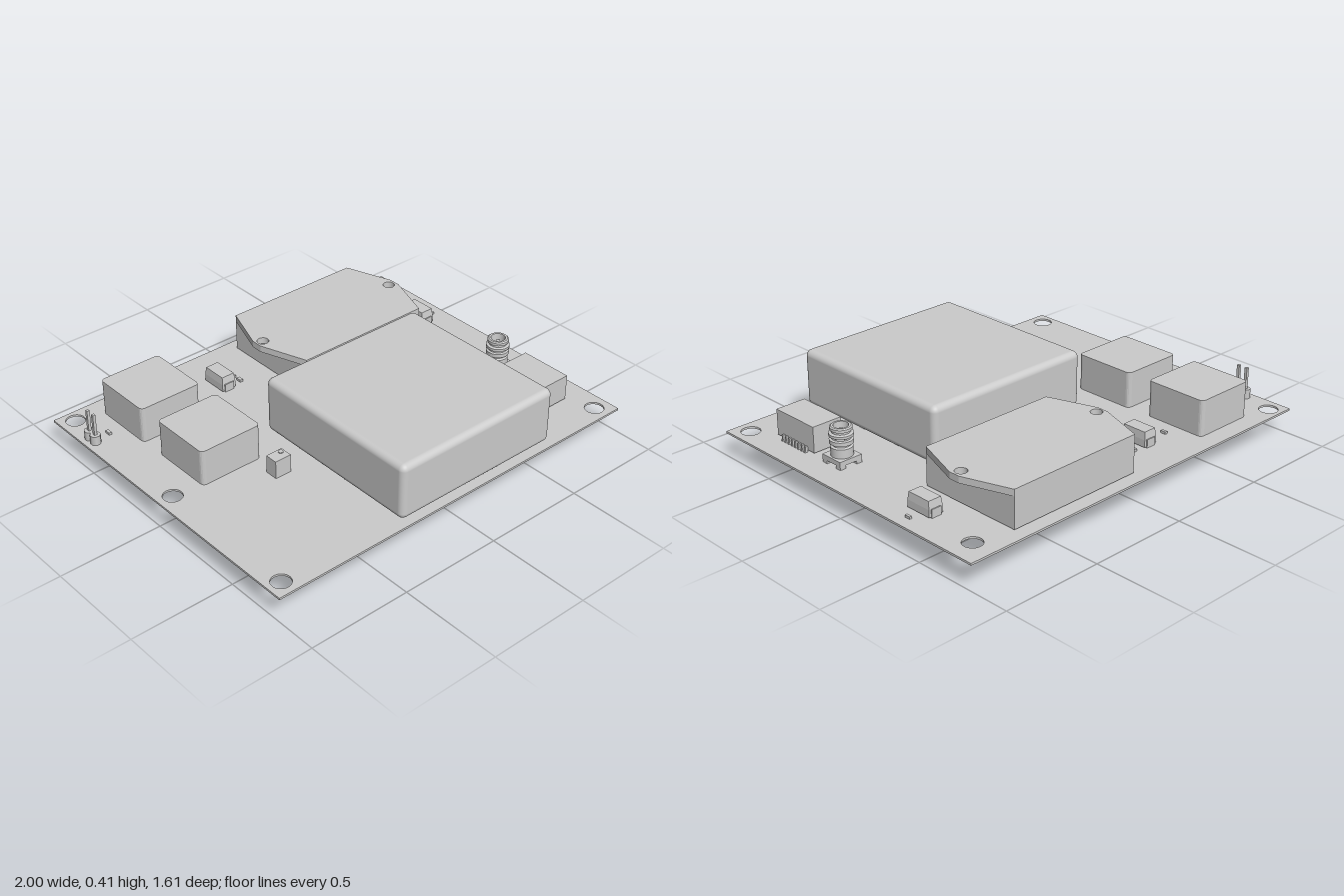
import * as THREE from 'three';
import { RoundedBoxGeometry } from 'three/addons/geometries/RoundedBoxGeometry.js';

const TOP = 0.125; // upper face of the board
const mat = new THREE.MeshStandardMaterial({ color: 0xcccccc });

export function createModel() {
  const model = new THREE.Group();

  const add = (name, geo, x = 0, y = 0, z = 0, parent = model) => {
    const mesh = new THREE.Mesh(geo, mat);
    mesh.name = name;
    mesh.position.set(x, y, z);
    parent.add(mesh);
    return mesh;
  };
  const group = (name, x = 0, z = 0) => {
    const g = new THREE.Group();
    g.name = name;
    g.position.set(x, 0, z);
    model.add(g);
    return g;
  };
  // Box given by its limits on each axis
  const block = (name, x0, x1, y0, y1, z0, z1, parent) =>
    add(name, new THREE.BoxGeometry(x1 - x0, y1 - y0, z1 - z0),
      (x0 + x1) / 2, (y0 + y1) / 2, (z0 + z1) / 2, parent);
  const rod = (name, r, x, y0, y1, z, parent) =>
    add(name, new THREE.CylinderGeometry(r, r, y1 - y0, 14), x, (y0 + y1) / 2, z, parent);
  // Plan outline in (x, z), raised from y0 to y1, with round holes [x, z, r]
  const slab = (name, points, holes, y0, y1, parent) => {
    const shape = new THREE.Shape(points.map(([x, z]) => new THREE.Vector2(x, -z)));
    for (const [x, z, r] of holes) {
      const path = new THREE.Path();
      path.absarc(x, -z, r, 0, Math.PI * 2, true);
      shape.holes.push(path);
    }
    const geo = new THREE.ExtrudeGeometry(shape, { depth: y1 - y0, bevelEnabled: false, curveSegments: 24 });
    geo.rotateX(-Math.PI / 2);
    return add(name, geo, 0, y0, 0, parent);
  };

  // Circuit board with mounting holes
  slab('board', [[-1, 0.805], [1, 0.805], [1, -0.805], [-1, -0.805]],
    [[-0.925, -0.74, 0.045], [0.885, -0.69, 0.045], [-0.925, 0, 0.045],
      [-0.93, 0.73, 0.045], [0.92, 0.73, 0.045]], 0.115, TOP);

  // Large rounded module
  add('mainModule', new RoundedBoxGeometry(0.89, 0.275, 0.89, 4, 0.03), 0.125, 0.268, 0.33);
  for (const [x, z] of [[-0.235, 0.69], [-0.06, 0.69], [0.48, 0.69], [0.48, 0.33], [0.48, -0.02], [-0.235, -0.02]])
    rod('mainModulePin', 0.009, x, 0.075, 0.135, z);

  // Power converter: block with a thin pointed mounting ear at each end
  const converter = group('converter');
  block('converterBody', 0, 0.705, 0.13, 0.28, -0.74, -0.215, converter);
  slab('converterLid', [[0, -0.215], [0.705, -0.215], [0.787, -0.45], [0.787, -0.505],
    [0.705, -0.74], [0, -0.74], [-0.082, -0.505], [-0.082, -0.45]],
  [[-0.045, -0.477, 0.028], [0.748, -0.477, 0.028]], 0.28, 0.312, converter);
  for (const z of [-0.41, -0.48, -0.59, -0.655]) rod('converterPin', 0.007, 0.07, 0, 0.135, z, converter);
  for (const z of [-0.325, -0.395]) rod('converterPin', 0.007, 0.64, 0, 0.135, z, converter);

  // Two metal cans with rounded corners
  for (const [cx, cz] of [[-0.634, -0.555], [-0.628, -0.127]]) {
    const can = group('can', cx, cz);
    const outline = [];
    for (let i = 0; i < 4; i++) {
      const sx = [1, 1, -1, -1][i], sz = [1, -1, -1, 1][i];
      for (let k = 0; k <= 4; k++) {
        const a = -Math.PI / 2 + (i + k / 4) * Math.PI / 2;
        outline.push([sx * 0.138 + 0.02 * Math.cos(a), sz * 0.138 - 0.02 * Math.sin(a)]);
      }
    }
    slab('canBody', outline, [], TOP, 0.3, can);
    for (const x of [-0.112, 0.112])
      for (const z of [-0.112, 0.112]) rod('canPin', 0.009, x, 0.09, 0.13, z, can);
  }

  // Two-pin header
  const header = group('pinHeader', -0.953, -0.558);
  for (const z of [-0.0225, 0.0225]) {
    const base = add('headerBase', new THREE.CylinderGeometry(0.0245, 0.0245, 0.045, 8), 0, 0.1475, z, header);
    base.rotation.y = Math.PI / 8;
    block('headerPin', -0.007, 0.007, 0.075, 0.275, z - 0.007, z + 0.007, header);
  }

  // Coaxial connector: square foot, turned barrel and pins
  const coax = group('coaxConnector', 0.815, 0.208);
  block('coaxBase', -0.06, 0.06, 0.14, 0.163, -0.06, 0.06, coax);
  for (const x of [-0.045, 0.045])
    for (const z of [-0.045, 0.045]) {
      block('coaxFoot', x - 0.015, x + 0.015, TOP, 0.14, z - 0.015, z + 0.015, coax);
      rod('coaxLeg', 0.008, x, 0.06, 0.13, z, coax);
    }
  rod('coaxCenterPin', 0.009, 0, 0.06, 0.145, 0, coax);
  const profile = [[0, 0.16], [0.05, 0.16], [0.05, 0.205], [0.04, 0.21], [0.04, 0.216], [0.054, 0.222],
    [0.054, 0.24], [0.045, 0.244], [0.045, 0.25], [0.055, 0.256], [0.055, 0.268], [0.042, 0.272],
    [0.042, 0.28], [0.05, 0.284], [0.05, 0.297], [0.044, 0.302], [0.034, 0.302], [0.03, 0.225], [0, 0.225]];
  // Each profile segment is turned separately to keep its edges sharp
  for (let i = 0; i + 1 < profile.length; i++) {
    const pts = [profile[i], profile[i + 1]].map(([r, y]) => new THREE.Vector2(r, y));
    add('coaxBarrel', new THREE.LatheGeometry(pts, 32), 0, 0, 0, coax);
  }
  rod('coaxContact', 0.01, 0, 0.22, 0.285, 0, coax);

  // Chip with a row of bent leads on each long side
  const chip = group('chip', 0.788, 0.47);
  block('chipBody', -0.077, 0.077, 0.135, 0.26, -0.13, 0.13, chip);
  for (let i = 0; i < 8; i++) {
    const z = -0.08 + i * 0.0229;
    for (const s of [-1, 1]) {
      block('chipLead', s * 0.083 - 0.007, s * 0.083 + 0.007, TOP, 0.153, z - 0.005, z + 0.005, chip);
      block('chipLeadFoot', s * 0.087 - 0.006, s * 0.087 + 0.006, TOP, 0.131, z - 0.005, z + 0.005, chip);
    }
  }

  // Capacitors with tapered upper sides and end tabs
  for (const [x, z] of [[-0.248, -0.548], [0.847, -0.366]]) {
    const cap = group('capacitor', x, z);
    block('capacitorLower', -0.037, 0.037, 0.13, 0.165, -0.066, 0.066, cap);
    const geo = new THREE.BoxGeometry(0.074, 0.037, 0.132);
    const p = geo.attributes.position;
    for (let i = 0; i < p.count; i++)
      if (p.getY(i) > 0) p.setXYZ(i, p.getX(i) * 0.9, p.getY(i), p.getZ(i) * 0.92);
    geo.computeVertexNormals();
    add('capacitorUpper', geo, 0, 0.1835, 0, cap);
    for (const s of [-1, 1])
      block('capacitorTab', -0.025, 0.025, TOP, 0.165, s * 0.066 - 0.005, s * 0.066 + 0.005, cap);
  }

  // Small trimmer with an adjusting screw
  const trimmer = group('trimmer', -0.477, 0.163);
  block('trimmerBody', -0.042, 0.042, TOP, 0.213, -0.032, 0.032, trimmer);
  rod('trimmerScrew', 0.012, 0.022, 0.205, 0.217, -0.012, trimmer);
  for (const x of [-0.025, 0, 0.025]) rod('trimmerPin', 0.005, x, 0.1, 0.13, 0, trimmer);

  // Tiny surface parts: [x, z, half width, half depth]
  for (const [x, z, w, d] of [[-0.87, -0.557, 0.007, 0.014], [-0.39, -0.57, 0.007, 0.014],
    [-0.163, -0.592, 0.008, 0.014], [-0.163, -0.511, 0.008, 0.014], [-0.163, -0.55, 0.005, 0.005],
    [-0.635, -0.326, 0.014, 0.006], [0.937, -0.366, 0.006, 0.014], [0.672, 0.408, 0.006, 0.012]])
    block('surfacePart', x - w, x + w, TOP, 0.137, z - d, z + d);

  return model;
}
